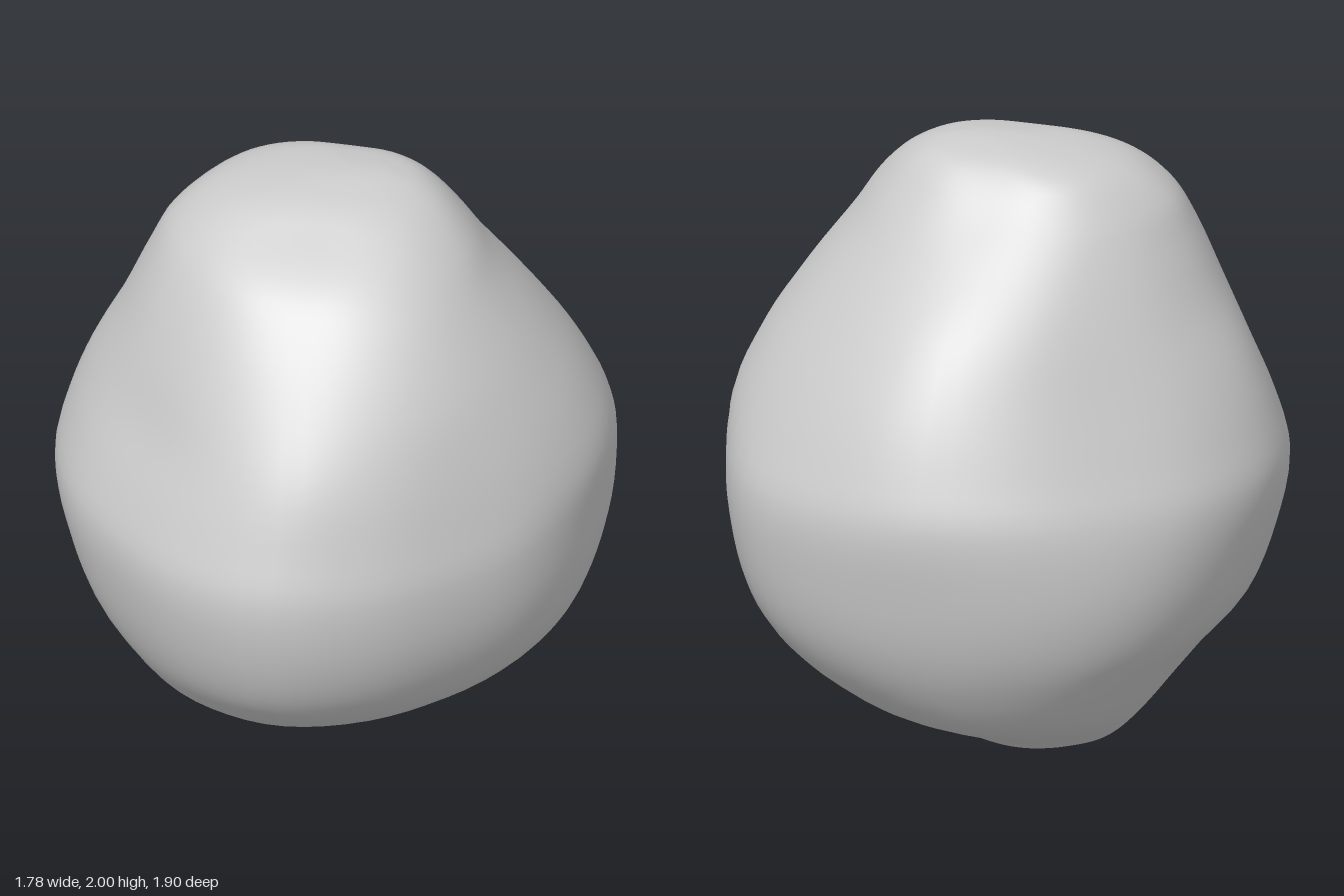
import * as THREE from 'three';

// Each cross-section: height, then its reach in eight compass directions,
// starting at +x and turning 45 degrees at a time towards +z.
const SECTIONS = [
  [0.005, -0.18, -0.18, -0.05, 0.15, 0.30, 0.28, 0.15, -0.02],
  [0.05, 0.00, 0.00, 0.13, 0.29, 0.38, 0.44, 0.40, 0.23],
  [0.10, 0.13, 0.15, 0.27, 0.40, 0.44, 0.53, 0.50, 0.35],
  [0.20, 0.37, 0.39, 0.46, 0.53, 0.52, 0.67, 0.70, 0.61],
  [0.35, 0.65, 0.62, 0.69, 0.67, 0.64, 0.79, 0.82, 0.81],
  [0.50, 0.79, 0.75, 0.85, 0.76, 0.77, 0.87, 0.89, 0.92],
  [0.70, 0.86, 0.83, 0.94, 0.83, 0.85, 0.91, 0.94, 0.98],
  [0.93, 0.89, 0.85, 0.97, 0.86, 0.90, 0.89, 0.97, 0.99],
  [1.10, 0.90, 0.82, 0.92, 0.81, 0.87, 0.82, 0.93, 0.92],
  [1.30, 0.82, 0.77, 0.84, 0.72, 0.80, 0.73, 0.85, 0.81],
  [1.50, 0.69, 0.70, 0.70, 0.65, 0.69, 0.64, 0.72, 0.67],
  [1.70, 0.54, 0.58, 0.54, 0.56, 0.60, 0.54, 0.52, 0.52],
  [1.82, 0.46, 0.46, 0.42, 0.48, 0.54, 0.47, 0.40, 0.44],
  [1.92, 0.36, 0.32, 0.24, 0.36, 0.41, 0.39, 0.31, 0.36],
  [1.97, 0.27, 0.20, 0.13, 0.22, 0.25, 0.27, 0.24, 0.29],
  [1.995, 0.18, 0.08, 0.00, 0.02, 0.06, 0.08, 0.12, 0.18],
];
const SIDES = 64;
const RINGS = 60;
const SHARPNESS = 26;

// Point on a rounded sixteen-sided cross-section; the in-between sides
// lie midway between their neighbours.
function sectionPoint([y, ...reach], angle) {
  const cx = (reach[0] - reach[4]) / 2;
  const cz = (reach[2] - reach[6]) / 2;
  const sides = reach.map((e, i) => {
    const a = (i * Math.PI) / 4;
    return Math.max(0.02, e - cx * Math.cos(a) - cz * Math.sin(a));
  });
  let sum = 0;
  for (let i = 0; i < 16; i++) {
    const k = i >> 1;
    const h = i % 2 ? (sides[k] + sides[(k + 1) % 8]) / 2 : sides[k];
    sum += Math.max(0, Math.cos(angle - (i * Math.PI) / 8) / h) ** SHARPNESS;
  }
  const r = sum ** (-1 / SHARPNESS);
  return new THREE.Vector3(cx + r * Math.cos(angle), y, cz + r * Math.sin(angle));
}

// Smooth skin made from vertical curves through all cross-sections
function boulderGeometry() {
  const positions = [-0.24, 0, -0.1, 0.07, 2, -0.06]; // bottom and top poles
  const index = [];
  const at = (s, r) => 2 + (s % SIDES) * (RINGS + 1) + r;
  for (let s = 0; s < SIDES; s++) {
    const angle = (s / SIDES) * Math.PI * 2;
    const curve = new THREE.CatmullRomCurve3(SECTIONS.map((row) => sectionPoint(row, angle)));
    for (let r = 0; r <= RINGS; r++) {
      const p = curve.getPoint(r / RINGS);
      positions.push(p.x, p.y, p.z);
    }
    index.push(0, at(s, 0), at(s + 1, 0));
    for (let r = 0; r < RINGS; r++) {
      const a = at(s, r), b = at(s, r + 1), c = at(s + 1, r), d = at(s + 1, r + 1);
      index.push(a, b, c, b, d, c);
    }
    index.push(at(s, RINGS), 1, at(s + 1, RINGS));
  }
  const geometry = new THREE.BufferGeometry();
  geometry.setAttribute('position', new THREE.Float32BufferAttribute(positions, 3));
  geometry.setIndex(index);
  geometry.computeVertexNormals();
  return geometry;
}

export function createModel() {
  const group = new THREE.Group();
  group.name = 'rock';
  const stone = new THREE.MeshStandardMaterial({ color: 0xcccccc });
  stone.name = 'grey stone';
  const boulder = new THREE.Mesh(boulderGeometry(), stone);
  boulder.name = 'boulder';
  group.add(boulder);
  return group;
}
